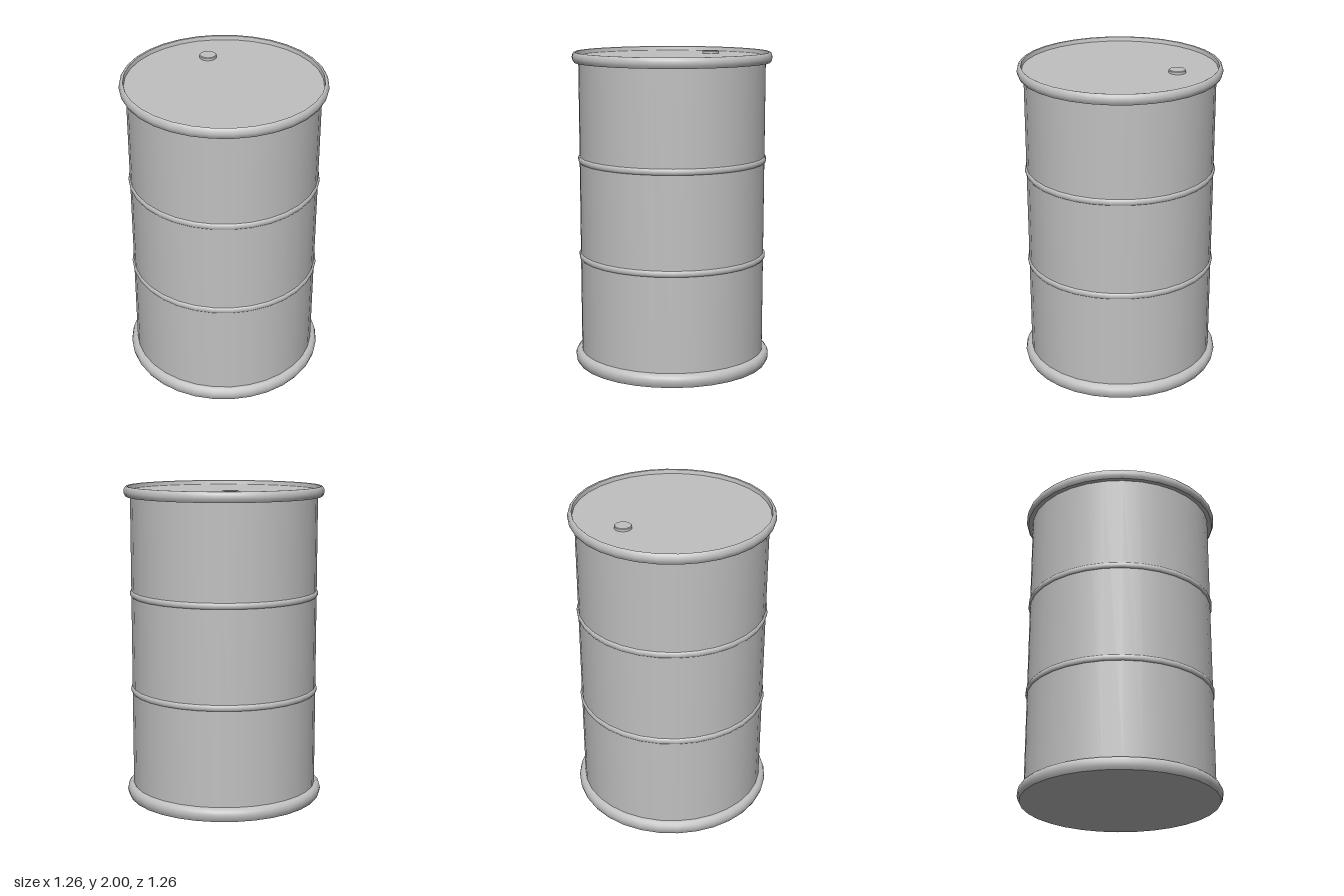
import * as THREE from 'three';

const SIDES = 32;

export function createModel() {
  const model = new THREE.Group();
  model.name = 'drum';
  const steel = new THREE.MeshStandardMaterial({ color: 0xc0c0c0 });
  steel.name = 'grey steel';

  // Turned part: each run of [radius, y] points is smooth, with sharp edges between runs
  function turned(name, runs, sides = SIDES) {
    const part = new THREE.Group();
    part.name = name;
    runs.forEach((run, i) => {
      const points = run.map(([r, y]) => new THREE.Vector2(r, y));
      const mesh = new THREE.Mesh(new THREE.LatheGeometry(points, sides), steel);
      mesh.name = `${name}Surface${i + 1}`;
      part.add(mesh);
    });
    model.add(part);
    return part;
  }

  // Straight wall of the drum
  turned('body', [[[0.59, 0.06], [0.59, 1.95]]]);

  // Bottom rim with its flat base
  turned('bottomRim', [
    [[0, 0], [0.615, 0]],
    [[0.615, 0], [0.625, 0.018], [0.63, 0.042], [0.624, 0.064], [0.611, 0.078], [0.59, 0.083]],
  ]);

  // Rolled top rim: flat underside, rounded outside, inner lip down to the lid
  turned('topRim', [
    [[0.59, 1.935], [0.618, 1.935]],
    [[0.618, 1.935], [0.627, 1.95], [0.631, 1.967], [0.627, 1.986], [0.618, 1.998], [0.612, 2], [0.606, 1.997]],
    [[0.606, 1.997], [0.601, 1.972]],
  ]);

  // Recessed lid
  turned('lid', [[[0.603, 1.972], [0, 1.972]]]);

  // Two rolling hoops around the wall
  for (const [name, y] of [['lowerHoop', 0.705], ['upperHoop', 1.325]]) {
    const profile = [];
    for (let i = 0; i <= 6; i++) {
      const a = -Math.PI / 2 + (i / 6) * Math.PI;
      profile.push([0.588 + 0.012 * Math.cos(a), y + 0.02 * Math.sin(a)]);
    }
    turned(name, [profile]);
  }

  // Filler plug near the back of the lid
  const plug = turned('fillerPlug', [
    [[0.053, 1.97], [0.053, 1.987]],
    [[0.053, 1.987], [0.049, 1.991]],
    [[0.049, 1.991], [0, 1.991]],
  ]);
  plug.position.z = -0.36;

  return model;
}
